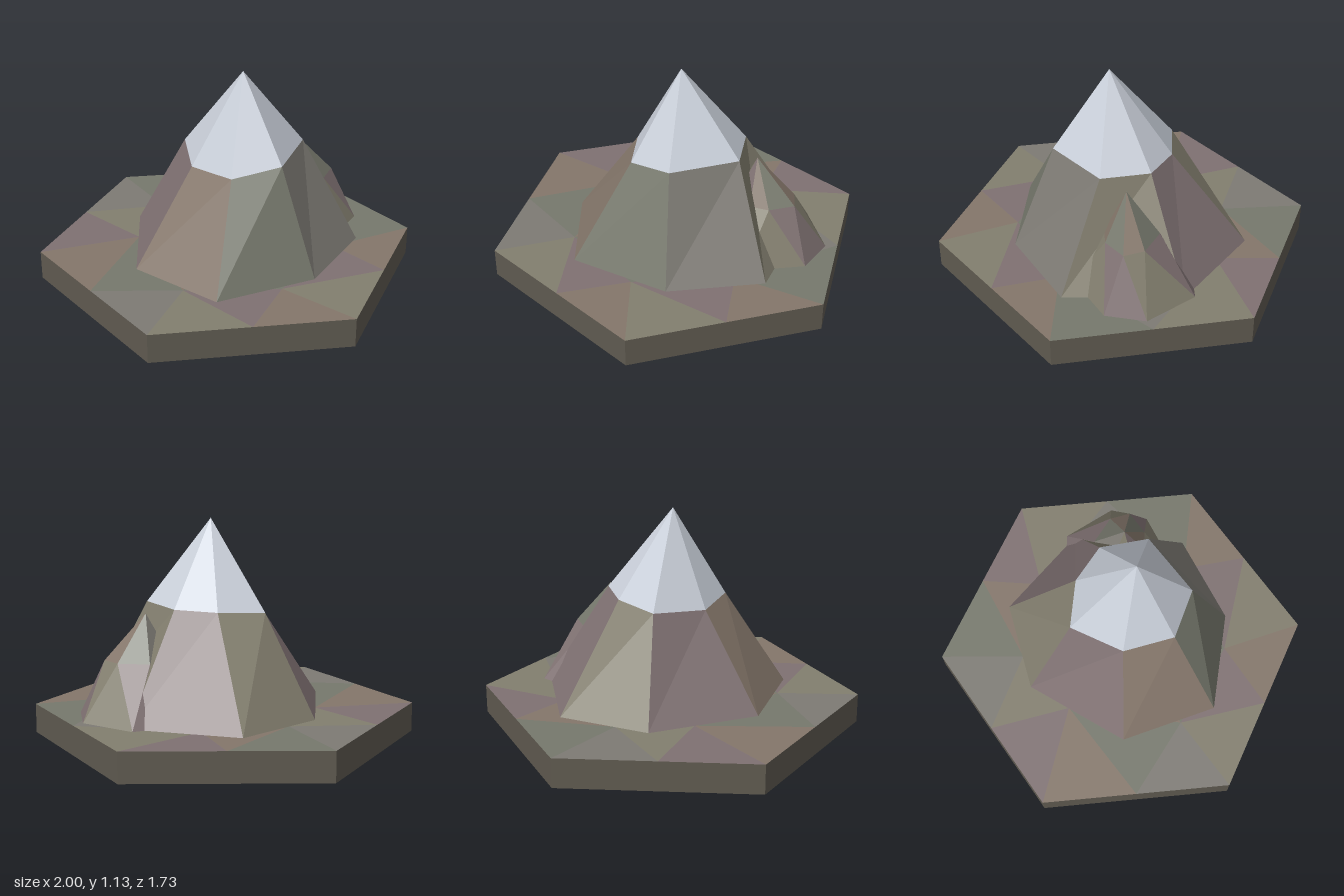
import * as THREE from 'three';

const GROUND = 0.155;

// flat, low-poly earth tones
const paint = (color) => new THREE.MeshStandardMaterial({ color, flatShading: true, side: THREE.DoubleSide });
const earth = [0x827e6e, 0x84766a, 0x7d7a74, 0x7f7172, 0x76786c].map(paint);
const snow = [paint(0xc8ced8)];
const cliff = [paint(0x5f5a50)];

// Flat-shaded mesh from convex faces (corner lists); the materials cycle from face to face.
function facetMesh(name, faces, materials) {
  const points = [];
  const geometry = new THREE.BufferGeometry();
  faces.forEach((face, f) => {
    const start = points.length;
    for (let i = 1; i < face.length - 1; i++) points.push(face[0], face[i], face[i + 1]);
    geometry.addGroup(start, points.length - start, (f * 3) % materials.length);
  });
  geometry.setAttribute('position', new THREE.Float32BufferAttribute(points.flat(), 3));
  geometry.computeVertexNormals();
  const mesh = new THREE.Mesh(geometry, materials);
  mesh.name = name;
  return mesh;
}

const atGround = (ring) => ring.map(([x, z]) => [x, GROUND, z]);
const band = (low, high) => low.map((p, i) => {
  const j = (i + 1) % low.length;
  return [p, low[j], high[j], high[i]];
});
const cone = (ring, apex) => ring.map((p, i) => [p, ring[(i + 1) % ring.length], apex]);

export function createModel() {
  const model = new THREE.Group();
  model.name = 'mountainTile';

  // hexagonal tile, open underneath
  const corners = [];
  for (let i = 0; i < 6; i++) {
    const a = (i * Math.PI) / 3;
    corners.push([Math.cos(a), GROUND, -Math.sin(a)]);
  }
  const bottom = corners.map(([x, , z]) => [x, 0, z]);
  model.add(facetMesh('tileSides', band(bottom, corners), cliff));

  // patchwork ground: corners and edge midpoints joined to an uneven inner ring
  const inner = atGround([[0.57, 0.1], [0.4, -0.4], [-0.42, -0.38], [-0.55, 0.04], [-0.32, 0.36], [0.28, 0.5]]);
  const patches = [];
  corners.forEach((c, i) => {
    const j = (i + 1) % 6;
    const mid = c.map((v, k) => (v + corners[j][k]) / 2);
    patches.push([c, mid, inner[i]], [mid, inner[j], inner[i]], [mid, corners[j], inner[j]]);
  });
  patches.push(...cone(inner, [0, GROUND, 0]));
  model.add(facetMesh('ground', patches, earth));

  // main mountain: rocky slopes below a snow cap
  const foot = atGround([[-0.61, -0.26], [-0.52, 0.22], [-0.04, 0.565], [0.47, 0.435],
    [0.6, -0.09], [0.41, -0.56], [-0.2, -0.66]]);
  const snowLine = [[-0.22, 0.69, -0.17], [-0.27, 0.675, 0.08], [-0.01, 0.65, 0.225], [0.26, 0.665, 0.18],
    [0.375, 0.71, -0.05], [0.18, 0.71, -0.36], [-0.08, 0.7, -0.34]];
  const mountain = new THREE.Group();
  mountain.name = 'mountain';
  mountain.add(facetMesh('rockSlopes', band(foot, snowLine), earth));
  mountain.add(facetMesh('snowCap', cone(snowLine, [0.08, 1.135, -0.035]), snow));
  model.add(mountain);

  // small peak leaning into the back of the mountain
  const peakFoot = atGround([[0.02, -0.805], [-0.25, -0.665], [-0.28, -0.4], [-0.1, -0.17],
    [0.18, -0.2], [0.34, -0.43], [0.22, -0.73]]);
  const shoulder = [[0.11, -0.64], [0, -0.62], [-0.1, -0.49], [-0.03, -0.33],
    [0.1, -0.33], [0.17, -0.42], [0.18, -0.52]].map(([x, z]) => [x, 0.44, z]);
  const peak = [...band(peakFoot, shoulder), ...cone(shoulder, [0.06, 0.67, -0.43])];
  model.add(facetMesh('smallPeak', peak, earth));

  return model;
}
